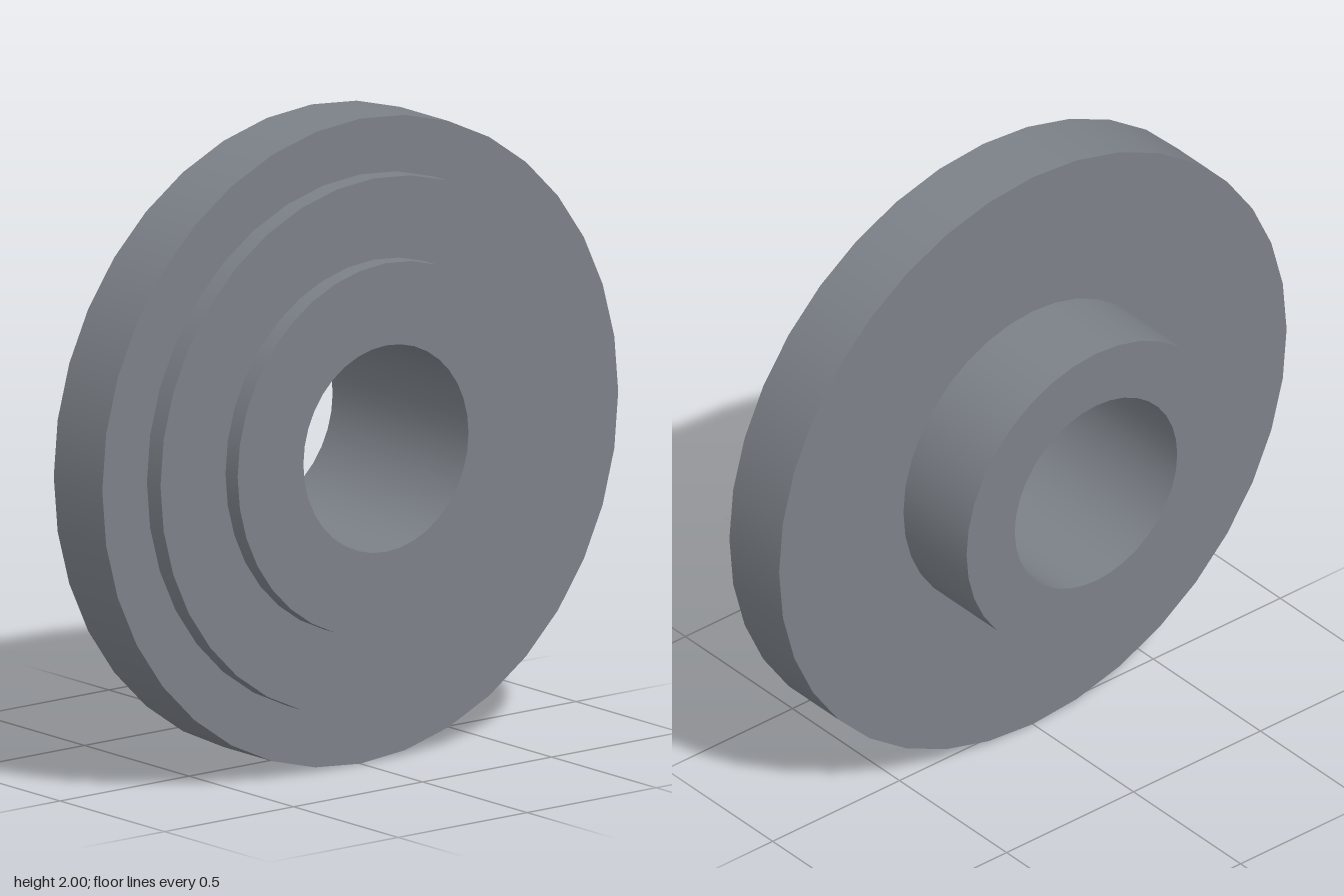
import * as THREE from 'three';
import { mergeGeometries } from 'three/addons/utils/BufferGeometryUtils.js';

const SIDES = 36;
const BORE = 0.32;
const HUB = 0.51;
const STEP = 0.827;
const BOSS = 0.575;

export function createModel() {
  const model = new THREE.Group();
  model.name = 'steppedFlange';
  // Blue-grey steel
  const material = new THREE.MeshStandardMaterial({ color: 0x7c8188 });

  // Revolves a [radius, x] profile about the x axis; each span is separate, so corners stay sharp.
  function addTurnedPart(name, profile) {
    const spans = [];
    for (let i = 0; i < profile.length - 1; i++) {
      const ends = [profile[i], profile[i + 1]].map(([r, x]) => new THREE.Vector2(r, x));
      spans.push(new THREE.LatheGeometry(ends, SIDES));
    }
    const geometry = mergeGeometries(spans);
    geometry.rotateZ(-Math.PI / 2);
    geometry.translate(0, 1, 0);
    const mesh = new THREE.Mesh(geometry, material);
    mesh.name = name;
    model.add(mesh);
  }

  // Hub on the -x side: end face and outer wall
  addTurnedPart('hub', [[BORE, -0.325], [HUB, -0.325], [HUB, -0.03]]);
  // Main disc: back face, rim and exposed front face
  addTurnedPart('flangeDisc', [[HUB, -0.03], [1, -0.03], [1, 0.202], [STEP, 0.202]]);
  // Shallow raised step
  addTurnedPart('raisedStep', [[STEP, 0.202], [STEP, 0.267], [BOSS, 0.267]]);
  // Boss around the bore on the +x side
  addTurnedPart('boss', [[BOSS, 0.267], [BOSS, 0.325], [BORE, 0.325]]);
  // Through hole, facing the axis
  addTurnedPart('bore', [[BORE, 0.325], [BORE, -0.325]]);

  return model;
}
